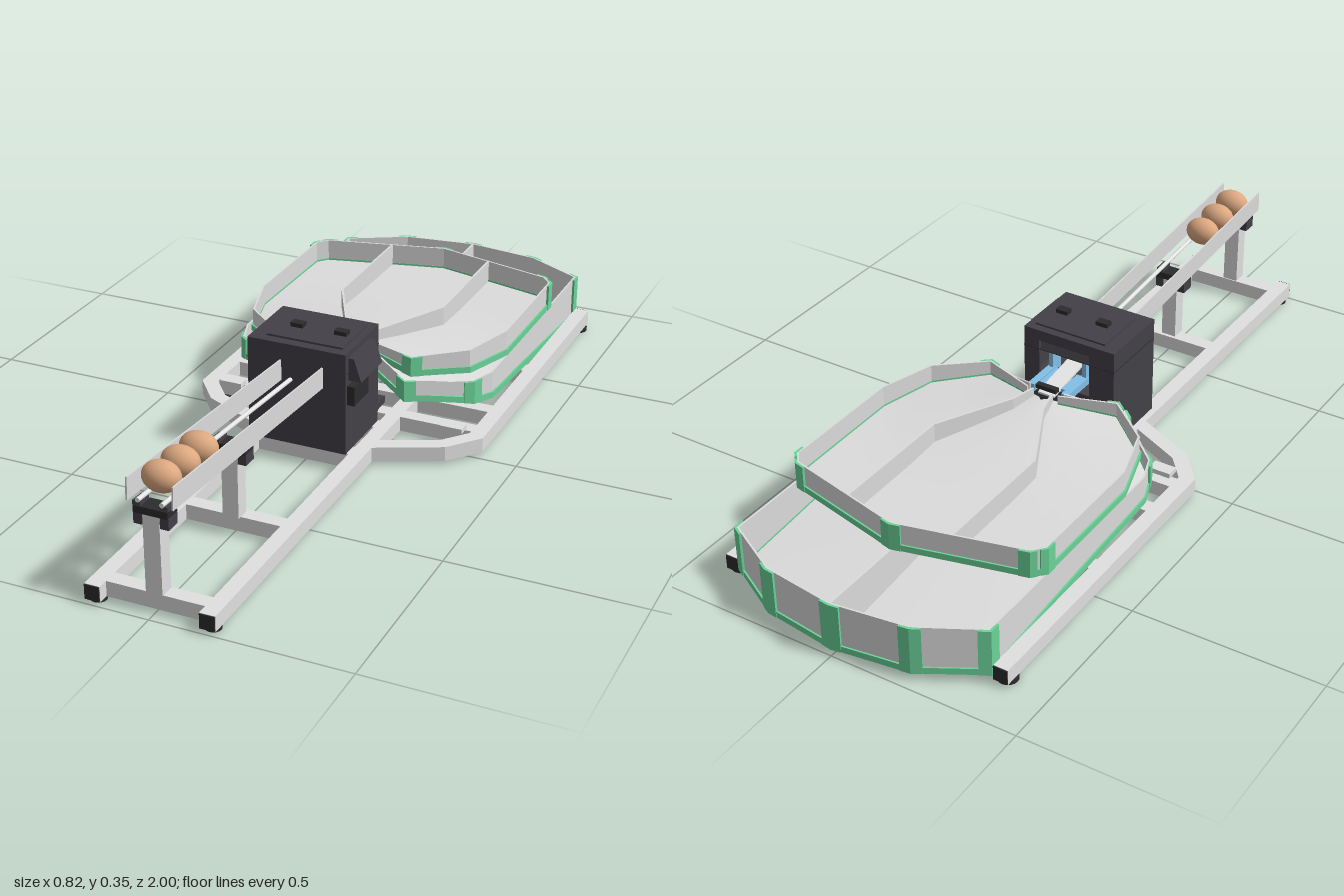
import * as THREE from 'three';

const mat = (name, color, double) => {
  const m = new THREE.MeshStandardMaterial({ color });
  m.name = name;
  if (double) m.side = THREE.DoubleSide;
  return m;
};

export function createModel() {
  const model = new THREE.Group();
  const aluminium = mat('aluminium', 0xe0e0e0);
  const trayGrey = mat('trayGrey', 0xdcdcdc, true);
  const green = mat('greenBracket', 0x6cd49a);
  const dark = mat('darkHousing', 0x434147);
  const black = mat('blackRubber', 0x2c2c2e);
  const blue = mat('blueGate', 0x84c0e8);
  const white = mat('whiteParts', 0xf0f0f0);
  const eggMat = mat('eggShell', 0xdca880);

  const add = (name, geo, m, x = 0, y = 0, z = 0, parent = model) => {
    const mesh = new THREE.Mesh(geo, m);
    mesh.name = name;
    mesh.position.set(x, y, z);
    parent.add(mesh);
    return mesh;
  };
  // box given by its limits on each axis
  const box = (name, m, x0, x1, y0, y1, z0, z1, parent) =>
    add(name, new THREE.BoxGeometry(x1 - x0, y1 - y0, z1 - z0), m,
      (x0 + x1) / 2, (y0 + y1) / 2, (z0 + z1) / 2, parent);

  // upright mitred wall along a path of [x, z], between the heights lo and hi
  const wall = (name, path, lo, hi, t, m, off = 0) => {
    const pos = [], idx = [], n = path.length;
    const normal = (a, b) => {
      const dx = b[0] - a[0], dz = b[1] - a[1], l = Math.hypot(dx, dz);
      return [dz / l, -dx / l];
    };
    path.forEach((p, k) => {
      const a = normal(path[Math.max(k - 1, 0)], path[Math.max(k, 1)]);
      const b = normal(path[Math.min(k, n - 2)], path[Math.min(k + 1, n - 1)]);
      const s = 1 / Math.max(0.4, 1 + a[0] * b[0] + a[1] * b[1]);
      const nx = (a[0] + b[0]) * s, nz = (a[1] + b[1]) * s;
      for (const [o, h] of [[t / 2, lo], [t / 2, hi], [-t / 2, hi], [-t / 2, lo]])
        pos.push(p[0] + nx * (o + off), h(p), p[1] + nz * (o + off));
    });
    for (let k = 0; k < n - 1; k++)
      for (let i = 0; i < 4; i++) {
        const a = k * 4 + i, b = k * 4 + (i + 1) % 4;
        idx.push(a, b, b + 4, a, b + 4, a + 4);
      }
    const e = (n - 1) * 4;
    idx.push(e, e + 1, e + 2, e, e + 2, e + 3, 0, 2, 1, 0, 3, 2);
    let g = new THREE.BufferGeometry();
    g.setAttribute('position', new THREE.Float32BufferAttribute(pos, 3));
    g.setIndex(idx);
    g = g.toNonIndexed();
    g.computeVertexNormals();
    return add(name, g, m);
  };
  const level = y => () => y;
  const flip = path => path.map(([x, z]) => [-x, z]);
  const mirrored = half => [...half, ...flip(half.slice(0, -1)).reverse()];
  const mix = (a, b, t) => [a[0] + (b[0] - a[0]) * t, a[1] + (b[1] - a[1]) * t];
  const dist = (a, b) => Math.hypot(b[0] - a[0], b[1] - a[1]);
  const divide = path => {
    const out = [path[0]];
    for (let k = 1; k < path.length; k++) {
      const n = Math.ceil(dist(path[k - 1], path[k]) / 0.08);
      for (let i = 1; i <= n; i++) out.push(mix(path[k - 1], path[k], i / n));
    }
    return out;
  };

  // floor height falls with the distance from the funnel
  const C = [0, -0.08];
  const slope = table => p => {
    const r = dist(p, C);
    for (let i = 1; i < table.length; i++)
      if (r <= table[i][0]) {
        const [a, b] = [table[i - 1], table[i]];
        return a[1] + (b[1] - a[1]) * (r - a[0]) / (b[0] - a[0]);
      }
    return table[table.length - 1][1];
  };

  // tray: sloping floor from an inner edge to the rim, rim wall, edge strip,
  // and brackets at the listed corners of the half outline
  const tray = (name, half, inner, floor, top, bracketed) => {
    const corners = mirrored(half), rim = divide(corners);
    const n = rim.length, rings = 8, pos = [], idx = [];
    const path = new THREE.CurvePath();
    inner.slice(1).forEach((p, i) => path.add(new THREE.LineCurve(
      new THREE.Vector2(...inner[i]), new THREE.Vector2(...p))));
    const start = rim.map((p, i) => path.getPointAt(i / (n - 1)).toArray());
    for (let j = 0; j <= rings; j++)
      rim.forEach((p, i) => {
        const q = mix(start[i], p, j / rings);
        pos.push(q[0], floor(q), q[1]);
      });
    for (let j = 0; j < rings; j++)
      for (let i = 0; i < n - 1; i++) {
        const a = j * n + i, b = a + n;
        idx.push(a, a + 1, b, a + 1, b + 1, b);
      }
    const g = new THREE.BufferGeometry();
    g.setAttribute('position', new THREE.Float32BufferAttribute(pos, 3));
    g.setIndex(idx);
    g.computeVertexNormals();
    add(name + 'Floor', g, trayGrey);
    const under = p => floor(p) - 0.012;
    wall(name + 'Wall', rim, floor, top, 0.005, trayGrey);
    wall(name + 'EdgeStrip', rim, under, p => floor(p) + 0.005, 0.01, green, -0.002);
    for (let k = 1; k < corners.length - 1; k++) {
      if (!bracketed.includes(Math.min(k, corners.length - 1 - k))) continue;
      const p = corners[k];
      const toward = q => mix(p, q, Math.min(0.4, 0.026 / dist(p, q)));
      wall(name + 'Bracket', [toward(corners[k - 1]), p, toward(corners[k + 1])],
        under, top, 0.007, green, -0.005);
    }
  };
  const lowFloor = slope([[0, 0.19], [0.2, 0.13], [0.4, 0.08], [0.7, 0.05], [0.92, 0.03]]);
  const lowTop = p => Math.max(0.148, lowFloor(p) + 0.045);
  const highFloor = slope([[0, 0.205], [0.2, 0.182], [0.4, 0.166], [0.7, 0.162]]);
  const opening = mirrored([[0.04, -0.1], [0.15, -0.14], [0.225, -0.34], [0, -0.56]]);
  tray('lowerTray', [[0.05, -0.08], [0.19, -0.01], [0.33, -0.13], [0.355, -0.2],
    [0.355, -0.88], [0.2, -0.965], [0, -0.992]], opening, lowFloor, lowTop, [1, 2, 4, 5, 6]);
  tray('upperTray', [[0.045, -0.1], [0.19, -0.05], [0.31, -0.15], [0.355, -0.3],
    [0.355, -0.645], [0.33, -0.675], [0, -0.755]],
    [[0.01, -0.1], [0, -0.11], [-0.01, -0.1]], highFloor, level(0.223), [1, 4, 5, 6]);
  wall('openingStrip', divide(opening), p => lowFloor(p) - 0.01, p => lowFloor(p) + 0.01, 0.01, green);

  // tray dividers
  wall('lowerDivider', divide([[0, -0.57], [0, -0.99]]), lowFloor, lowTop, 0.006, trayGrey);
  const lane = divide([[0.028, -0.1], [0.045, -0.17], [0.148, -0.37], [0.148, -0.72]]);
  for (const path of [lane, flip(lane)])
    wall('upperDivider', path, highFloor, level(0.223), 0.006, trayGrey);

  // base frame
  const lo = level(0.01), hi = level(0.05);
  const sideBeam = [[0.145, 0.995], [0.145, 0.133], [0.32, 0.05], [0.382, -0.025], [0.382, -0.88]];
  for (const s of [1, -1]) {
    const path = s > 0 ? sideBeam : flip(sideBeam);
    wall('frameBeam', path.slice(0, 2), lo, hi, 0.04, aluminium);
    wall('frameSideBeam', path.slice(1), lo, hi, 0.04, aluminium);
    box('beamInnerEnd', aluminium, s * 0.145 - 0.02, s * 0.145 + 0.02, 0.01, 0.05, -0.2, 0.14);
    box('frontEndCap', black, s * 0.145 - 0.019, s * 0.145 + 0.019, 0.011, 0.049, 0.99, 0.998);
    box('rearEndCap', black, s * 0.382 - 0.019, s * 0.382 + 0.019, 0.011, 0.049, -0.883, -0.878);
    box('trayClamp', aluminium, s * 0.315 - 0.03, s * 0.315 + 0.03, 0.05, 0.063, -0.05, -0.015);
    for (const [x, z, r] of [[0.145, 0.967, 0.02], [0.34, -0.02, 0.026], [0.382, -0.85, 0.026]])
      add('foot', new THREE.CylinderGeometry(r, r, 0.01, 16), black, s * x, 0.005, z);
    for (const x of [0.1, 0.27])
      box('trayPad', black, s * x - 0.02, s * x + 0.02, 0.016, 0.034, -0.855, -0.825);
  }
  for (const [z, w] of [[0.947, 0.125], [0.57, 0.125], [0.18, 0.125], [0.02, 0.125],
    [-0.06, 0.362], [-0.18, 0.362], [-0.45, 0.362]])
    box('crossBeam', aluminium, -w, w, 0.01, 0.05, z - 0.02, z + 0.02);

  // posts carrying the rail
  for (const [z, y] of [[0.95, 0.25], [0.58, 0.225]]) {
    box('post', aluminium, -0.021, 0.021, 0.05, y, z - 0.02, z + 0.02);
    box('postCap', black, -0.043, 0.043, y, y + 0.018, z - 0.022, z + 0.022);
    for (const s of [1, -1])
      box('capBracket', dark, s * 0.033 - 0.011, s * 0.033 + 0.011, y - 0.028, y, z - 0.02, z + 0.02);
  }

  // sloping egg rail
  const rail = new THREE.Group();
  rail.name = 'eggRail';
  rail.position.set(0, 0.278, 0.585);
  rail.rotation.x = -0.07;
  model.add(rail);
  for (const s of [1, -1]) {
    box('railSide', trayGrey, s * 0.057 - 0.002, s * 0.057 + 0.002, -0.028, 0.028, -0.385, 0.388, rail);
    const rod = add('railRod', new THREE.CylinderGeometry(0.006, 0.006, 0.775, 10), white, s * 0.03, -0.022, 0, rail);
    rod.rotation.x = Math.PI / 2;
    for (const z of [-0.005, 0.365])
      box('rodHolder', dark, s * 0.034 - 0.01, s * 0.034 + 0.01, -0.036, -0.025, z - 0.02, z + 0.02, rail);
  }
  for (const [y, z] of [[0.314, 0.905], [0.308, 0.818], [0.302, 0.732]])
    add('egg', new THREE.SphereGeometry(1, 28, 20), eggMat, -0.006, y, z).scale.set(0.048, 0.038, 0.035);

  // housing, open underneath and with a rear window
  box('housingFront', dark, -0.148, 0.12, 0.05, 0.325, 0.197, 0.207);
  box('housingTop', dark, -0.148, 0.12, 0.315, 0.325, 0.003, 0.197);
  box('housingRight', dark, 0.11, 0.12, 0.05, 0.315, 0.003, 0.197);
  box('housingLeft', dark, -0.148, -0.138, 0.05, 0.315, 0.003, 0.197);
  box('housingBackLower', dark, -0.138, 0.11, 0.05, 0.175, 0.003, 0.012);
  box('housingBackUpper', dark, -0.138, 0.11, 0.295, 0.315, 0.003, 0.012);
  box('housingBackLeft', dark, -0.138, -0.075, 0.175, 0.295, 0.003, 0.012);
  box('housingBackRight', dark, 0.075, 0.11, 0.175, 0.295, 0.003, 0.012);
  box('housingDeck', dark, -0.138, 0.11, 0.165, 0.175, 0.012, 0.197);
  box('lidSeam', black, -0.149, 0.121, 0.269, 0.271, 0.002, 0.2);
  for (const x of [-0.055, 0.065]) box('topKnob', black, x - 0.017, x + 0.017, 0.325, 0.341, 0.095, 0.118);
  box('topPlate', dark, -0.108, 0.1, 0.325, 0.33, 0.025, 0.18);

  // slanted display hood and switch box on the right
  const hoodShape = new THREE.Shape();
  [[0.12, 0.25], [0.155, 0.25], [0.135, 0.31], [0.12, 0.31]].forEach(([x, y], i) =>
    i ? hoodShape.lineTo(x, y) : hoodShape.moveTo(x, y));
  add('displayHood', new THREE.ExtrudeGeometry(hoodShape, { depth: 0.13, bevelEnabled: false }), dark, 0, 0, 0.06);
  box('switchBox', black, 0.12, 0.14, 0.185, 0.237, 0.11, 0.197);

  // sorting gate, low behind the window with its links inside
  for (const s of [1, -1]) {
    box('gateArm', blue, s * 0.05 - 0.01, s * 0.05 + 0.01, 0.195, 0.215, -0.075, 0.03);
    box('gateUpright', blue, s * 0.05 - 0.006, s * 0.05 + 0.006, 0.2, 0.27, 0.02, 0.06);
    box('gateLink', blue, s * 0.033 - 0.01, s * 0.033 + 0.01, 0.2, 0.21, -0.05, 0.03);
  }
  box('gateBar', blue, -0.056, 0.056, 0.255, 0.267, 0.03, 0.045);
  const flap = box('gateFlap', white, -0.024, 0.024, 0.21, 0.216, -0.085, 0.06);
  flap.rotation.x = -0.15;
  box('gateAxle', black, -0.03, 0.03, 0.214, 0.226, -0.085, -0.07);
  box('controlBox', dark, -0.1, 0.1, 0.055, 0.075, -0.09, -0.01);
  box('gateServo', blue, -0.03, 0.03, 0.085, 0.115, -0.05, -0.01);

  return model;
}
